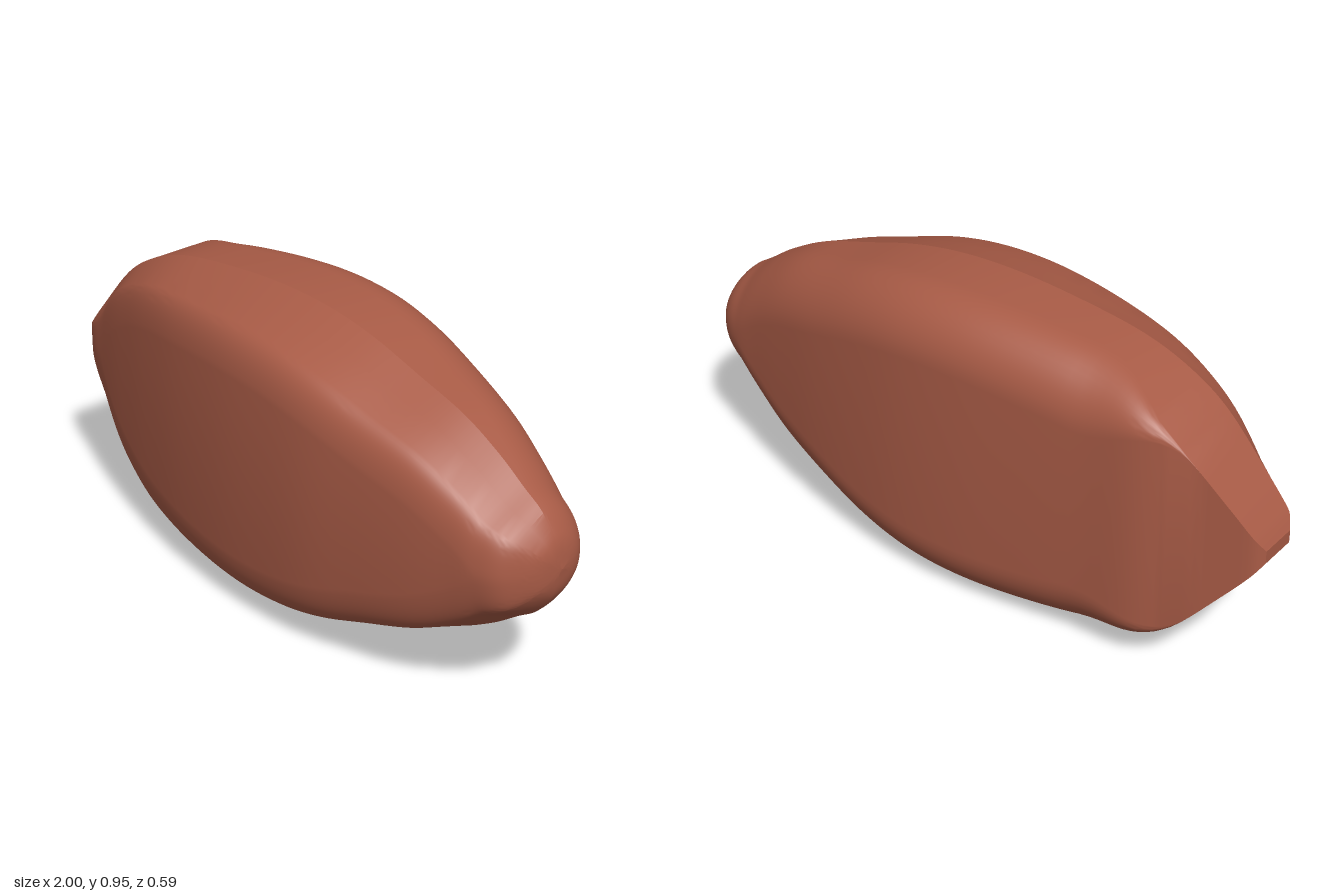
import * as THREE from 'three';
import { toCreasedNormals } from 'three/addons/utils/BufferGeometryUtils.js';

const MID_Y = 0.475; // height of the mirror plane
const RIDGE_Z = 0.03; // ridge line where the front bevel meets the rim

// Stations along the length: x, half height, front z, back z
const STATIONS = [
  [-1.0, 0.02, 0.0, -0.12], [-0.97, 0.065, 0.035, -0.145], [-0.9, 0.15, 0.073, -0.168],
  [-0.77, 0.295, 0.12, -0.207], [-0.65, 0.375, 0.157, -0.247], [-0.5, 0.43, 0.198, -0.262],
  [-0.3, 0.46, 0.243, -0.28], [-0.08, 0.475, 0.275, -0.294], [0.12, 0.467, 0.289, -0.293],
  [0.3, 0.435, 0.291, -0.275], [0.48, 0.38, 0.275, -0.245], [0.65, 0.325, 0.253, -0.205],
  [0.78, 0.257, 0.23, -0.172], [0.87, 0.195, 0.212, -0.15], [0.93, 0.155, 0.182, -0.125],
  [0.97, 0.107, 0.125, -0.09], [0.99, 0.064, 0.077, -0.05], [1.0, 0.0, 0.015, 0.01],
];

// Half of a cross-section, from the front face over the top to the back face
function halfSection(x, h, zf, zb) {
  const points = [];
  const ridge = THREE.MathUtils.clamp(RIDGE_Z, zb, zf);
  const k = Math.min(1, h / 0.2);
  const along = (t) => ridge + (zf - ridge) * t;

  // Front fillet, ending in a gentle straight bevel up to the ridge
  const fillet = new THREE.QuadraticBezierCurve(
    new THREE.Vector2(zf, h - 0.19 * k),
    new THREE.Vector2(along(0.95), h - 0.08 * k),
    new THREE.Vector2(along(0.73), h - 0.06 * k),
  );
  points.push(...fillet.getPoints(12));
  points.push(new THREE.Vector2(along(0.36), h - 0.03 * k), new THREE.Vector2(ridge, h));

  // Back fillet, fading to a sharp edge toward the pointed end
  const fade = THREE.MathUtils.smoothstep(x, -0.82, -0.45);
  const rz = Math.min(0.17, 0.95 * (ridge - zb)) * fade;
  const ry = Math.min(0.18, 0.95 * h) * fade;
  for (let i = 0; i <= 12; i++) {
    const a = (i / 12) * Math.PI / 2;
    points.push(new THREE.Vector2(zb + rz * (1 - Math.sin(a)), h - ry * (1 - Math.cos(a))));
  }
  return points;
}

function bodyGeometry() {
  const outline = new THREE.CatmullRomCurve3(
    STATIONS.map(([x, h, zf]) => new THREE.Vector3(x, h, zf)), false, 'catmullrom', 0.5);
  const back = new THREE.CatmullRomCurve3(
    STATIONS.map(([x, , , zb]) => new THREE.Vector3(x, 0, zb)), false, 'catmullrom', 0.5);

  const steps = (STATIONS.length - 1) * 5;
  const positions = [];
  const indices = [];
  let ring = 0;
  for (let i = 0; i <= steps; i++) {
    const p = outline.getPoint(i / steps);
    const half = halfSection(p.x, Math.max(p.y, 0), p.z, back.getPoint(i / steps).z);
    for (const q of half) positions.push(p.x, MID_Y + q.y, q.x);
    for (const q of half.reverse()) positions.push(p.x, MID_Y - q.y, q.x);
    ring = half.length * 2;
  }

  // Skin between neighbouring sections
  for (let i = 0; i < steps; i++) {
    for (let j = 0; j < ring; j++) {
      const a = i * ring + j;
      const b = i * ring + (j + 1) % ring;
      indices.push(a, a + ring, b, b, a + ring, b + ring);
    }
  }
  // Small caps at both ends
  const last = steps * ring;
  for (let j = 1; j < ring - 1; j++) {
    indices.push(0, j, j + 1);
    indices.push(last, last + j + 1, last + j);
  }

  const geometry = new THREE.BufferGeometry();
  geometry.setAttribute('position', new THREE.Float32BufferAttribute(positions, 3));
  geometry.setIndex(indices);
  return toCreasedNormals(geometry, 0.29);
}

export function createModel() {
  const group = new THREE.Group();
  group.name = 'pebble';
  const body = new THREE.Mesh(bodyGeometry(), new THREE.MeshStandardMaterial({ color: 0xa85b46 }));
  body.name = 'body';
  group.add(body);
  return group;
}
